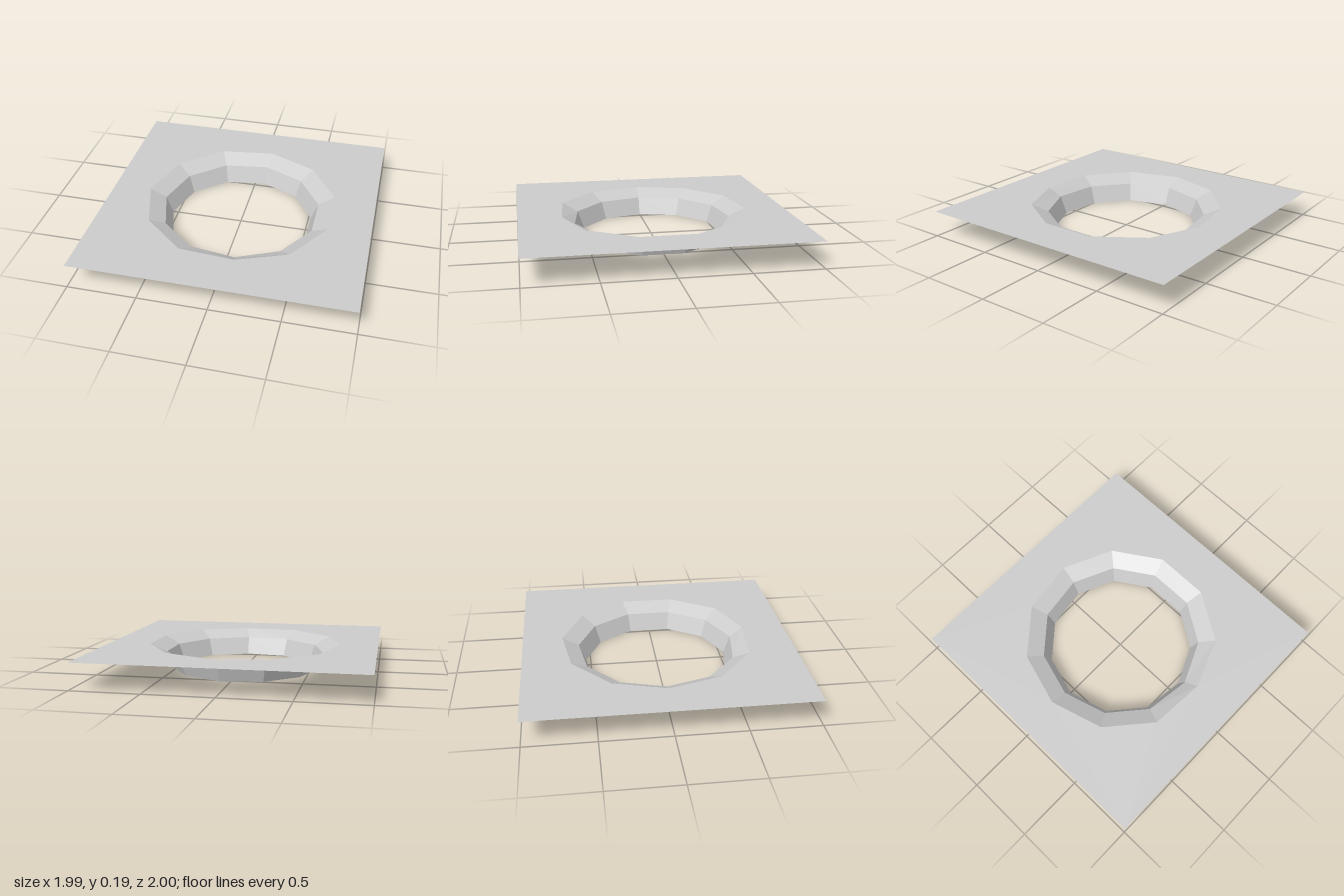
import * as THREE from 'three';

const SIDES = 11;
const TOP = 0.19, LEDGE = 0.13;

// One ring of corner points (x, z), starting at the right-hand side (-x)
function ring(radius) {
  return Array.from({ length: SIDES }, (_, i) => {
    const a = Math.PI + (i / SIDES) * Math.PI * 2;
    return new THREE.Vector2(Math.cos(a) * radius, Math.sin(a) * radius);
  });
}

// Faceted band joining two rings, facing the middle of the hole
function band(upper, yUpper, lower, yLower) {
  const pos = [];
  for (let i = 0; i < SIDES; i++) {
    const j = (i + 1) % SIDES;
    const a = [upper[i].x, yUpper, upper[i].y], b = [upper[j].x, yUpper, upper[j].y];
    const c = [lower[j].x, yLower, lower[j].y], d = [lower[i].x, yLower, lower[i].y];
    pos.push(...a, ...b, ...c, ...a, ...c, ...d);
  }
  const geo = new THREE.BufferGeometry();
  geo.setAttribute('position', new THREE.Float32BufferAttribute(pos, 3));
  geo.computeVertexNormals();
  return geo;
}

export function createModel() {
  const group = new THREE.Group();
  group.name = 'sunkenHole';
  const grey = new THREE.MeshStandardMaterial({ color: 0xcccccc, side: THREE.DoubleSide, flatShading: true });
  grey.name = 'grey';
  const add = (name, geo) => {
    const mesh = new THREE.Mesh(geo, grey);
    mesh.name = name;
    group.add(mesh);
  };

  const rim = ring(0.713), ledge = ring(0.59), base = ring(0.54);
  // The front corner of the rim sits slightly inwards
  rim.reduce((m, p) => (p.y > m.y ? p : m)).set(0.11, 0.68);

  // Flat sheet with the hole cut out
  const w = 0.995;
  const sheet = new THREE.Shape([[-w, -1], [w, -1], [w, 1], [-w, 1]].map(([x, y]) => new THREE.Vector2(x, y)));
  sheet.holes.push(new THREE.Path(rim.map(p => new THREE.Vector2(p.x, -p.y))));
  add('groundSheet', new THREE.ShapeGeometry(sheet).rotateX(-Math.PI / 2).translate(0, TOP, 0));

  // Sloping rim and steeper wall below it
  add('slopingRim', band(rim, TOP, ledge, LEDGE));
  add('holeWall', band(ledge, LEDGE, base, 0));
  return group;
}
